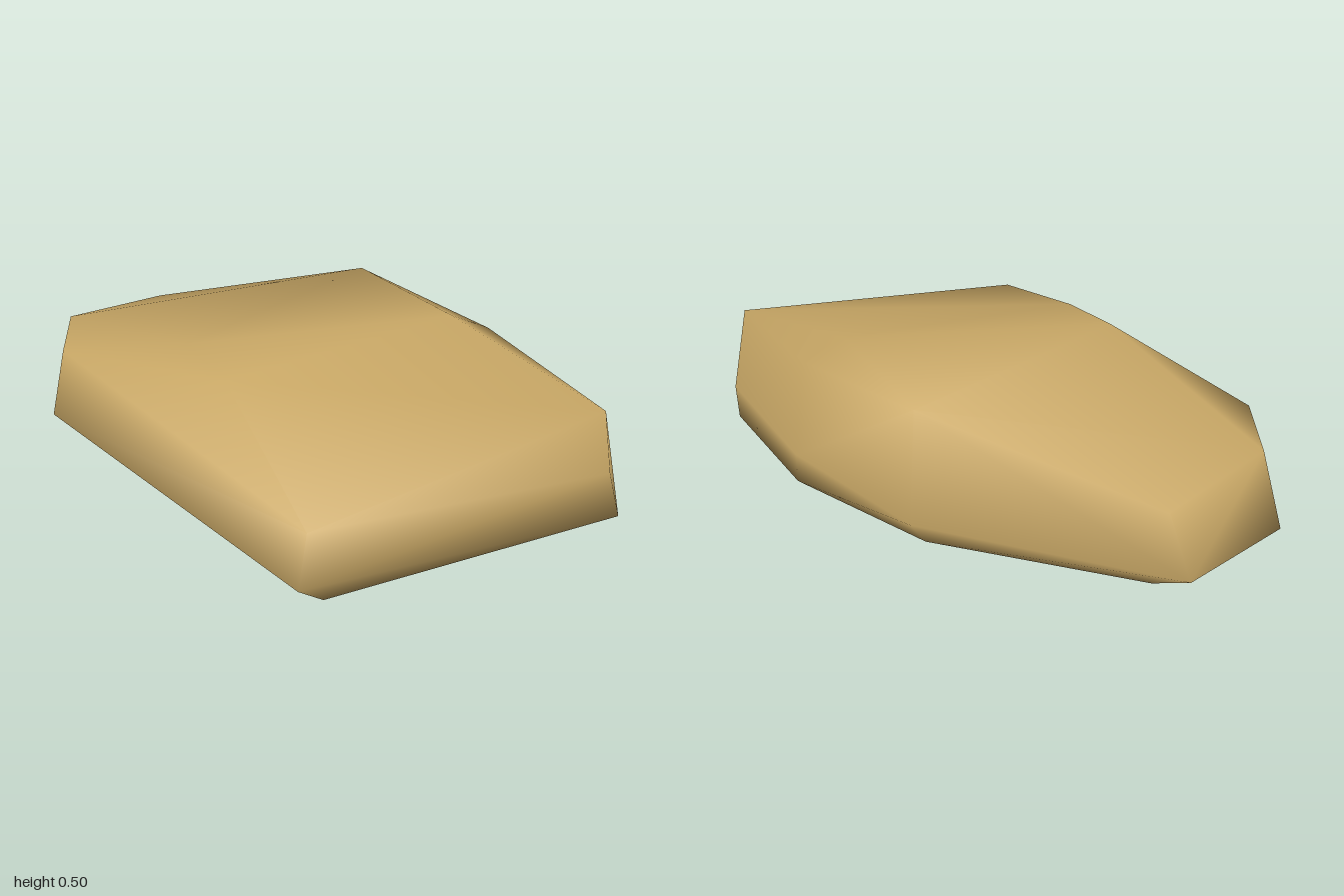
import * as THREE from 'three';
import { mergeVertices } from 'three/addons/utils/BufferGeometryUtils.js';
import { ConvexGeometry } from 'three/addons/geometries/ConvexGeometry.js';

// Corner points of the stone, level by level
const base = [
  [-0.45, 0, -0.61], [-0.35, 0, -0.76], [0, 0, -0.83], [0.44, 0, -0.27],
  [0.605, 0, 0.28], [0.575, 0, 0.81], [0.3, 0, 0.82], [-0.45, 0, 0.7],
];
const girdle = [
  [-0.61, 0.1, -0.61], [-0.41, 0.1, -0.93], [0, 0.1, -1], [0.51, 0.1, -0.3],
  [0.605, 0.1, 0.28], [0.565, 0.1, 0.85], [0.44, 0.1, 1], [-0.57, 0.1, 0.74],
];
const shoulder = [
  [-0.56, 0.33, -0.6], [-0.4, 0.33, -0.84], [0.01, 0.285, -0.905],
  [0.38, 0.27, 1], [0.5, 0.38, 0.86], [-0.54, 0.28, 0.74],
];
const crown = [
  [-0.37, 0.48, -0.12], [-0.39, 0.455, 0.13], [0.48, 0.48, -0.29],
  [0.56, 0.43, 0.28], [0.43, 0.495, 0.24],
];

export function createModel() {
  const sandstone = new THREE.MeshStandardMaterial({ color: 0xc9a866 });
  sandstone.name = 'sandstone';

  // Hull of the corners, with shared vertices for soft shading
  const points = [...base, ...girdle, ...shoulder, ...crown].map((p) => new THREE.Vector3(...p));
  let geometry = new ConvexGeometry(points);
  geometry.deleteAttribute('normal');
  geometry = mergeVertices(geometry);
  geometry.computeVertexNormals();

  const rock = new THREE.Mesh(geometry, sandstone);
  rock.name = 'rock';
  const group = new THREE.Group();
  group.name = 'boulder';
  group.add(rock);
  return group;
}
